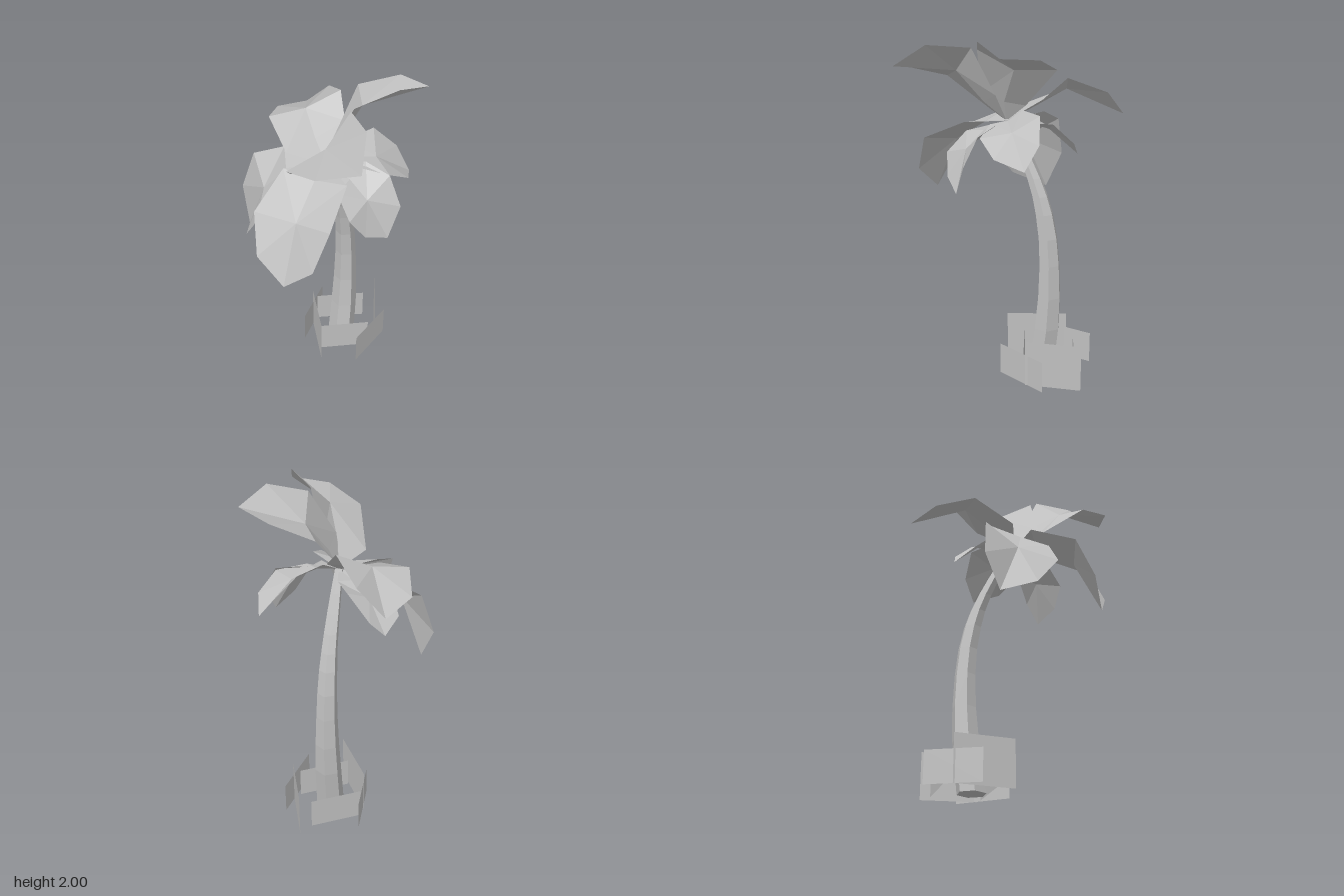
import * as THREE from 'three';

const grey = new THREE.MeshStandardMaterial({ color: 0xc0c0c0, flatShading: true, side: THREE.DoubleSide });
grey.name = 'pale grey';

// Point where trunk and fronds meet
const CROWN = [0.05, 1.5, 0.02];

function facets(points, index) {
  const g = new THREE.BufferGeometry();
  g.setAttribute('position', new THREE.Float32BufferAttribute(points.flat(), 3));
  g.setIndex(index);
  const flat = g.toNonIndexed();
  flat.computeVertexNormals();
  return flat;
}

// Frond: two edges of three points from root to end, a two-point midrib and a tip
function frond(name, left, rib, right, tip) {
  const points = [CROWN, ...left, ...rib, ...right, tip];
  const [c, l1, l2, l3, m1, m2, r1, r2, r3, t] = points.keys();
  const index = [];
  for (const [a, b, d, flip] of [[l1, l2, l3, false], [r1, r2, r3, true]]) {
    const tris = [[c, m1, a], [a, m1, m2], [a, m2, b], [b, m2, d], [d, m2, t]];
    for (const [p, q, r] of tris) index.push(...(flip ? [p, r, q] : [p, q, r]));
  }
  const mesh = new THREE.Mesh(facets(points, index), grey);
  mesh.name = name;
  return mesh;
}

// Bent six-sided trunk: height, z of centre and radius of each ring
function trunk() {
  const rings = [
    [0, -0.225, 0.085], [0.3, -0.265, 0.079], [0.5, -0.278, 0.071], [0.7, -0.277, 0.063],
    [0.86, -0.264, 0.058], [1.0, -0.237, 0.053], [1.1, -0.207, 0.047], [1.2, -0.165, 0.042],
    [1.3, -0.113, 0.037], [1.4, -0.058, 0.031], [1.51, 0.01, 0.024],
  ];
  const n = rings.length - 1;
  const g = new THREE.CylinderGeometry(1, 1, 1, 6, n);
  const p = g.attributes.position;
  for (let i = 0; i < p.count; i++) {
    const [y, z, r] = rings[Math.round((p.getY(i) + 0.5) * n)];
    p.setXYZ(i, CROWN[0] - 0.005 + p.getX(i) * r, y, z + p.getZ(i) * r);
  }
  const flat = g.toNonIndexed();
  flat.computeVertexNormals();
  const mesh = new THREE.Mesh(flat, grey);
  mesh.name = 'trunk';
  return mesh;
}

// Upright grass card between two ground points
function grassCard(x0, z0, x1, z1, height) {
  const g = new THREE.PlaneGeometry(Math.hypot(x1 - x0, z1 - z0), height);
  const mesh = new THREE.Mesh(g, grey);
  mesh.position.set((x0 + x1) / 2, 0.01 + height / 2, (z0 + z1) / 2);
  mesh.rotation.y = -Math.atan2(z1 - z0, x1 - x0);
  mesh.name = 'grassCard';
  return mesh;
}

export function createModel() {
  const model = new THREE.Group();
  model.name = 'palmTree';
  model.add(trunk());

  // Four low and two tall cards around the foot
  const grass = new THREE.Group();
  grass.name = 'grass';
  for (const card of [
    [0.23, -0.06, 0.28, -0.39, 0.19],
    [-0.025, -0.06, 0.235, -0.23, 0.19],
    [-0.155, -0.1, -0.185, -0.425, 0.19],
    [-0.17, -0.315, 0.09, -0.48, 0.19],
    [-0.175, -0.26, 0.03, 0.03, 0.28],
    [0.268, -0.265, 0.138, -0.56, 0.28],
  ]) grass.add(grassCard(...card));
  model.add(grass);

  const crown = new THREE.Group();
  crown.name = 'crown';
  crown.add(
    // Raised fronds
    frond('backLeftTopFrond',
      [[-0.17, 1.545, 0.07], [-0.37, 1.63, -0.105], [-0.43, 1.575, -0.32]],
      [[-0.07, 1.575, -0.09], [-0.195, 1.67, -0.22]],
      [[0.05, 1.65, -0.22], [-0.03, 1.77, -0.33], [-0.18, 1.685, -0.495]],
      [-0.335, 1.54, -0.51]),
    frond('backRightTopFrond',
      [[0.035, 1.6, -0.1], [0.075, 1.83, -0.33], [0.305, 1.92, -0.375]],
      [[0.1, 1.62, 0.0], [0.19, 1.825, -0.13]],
      [[0.1, 1.65, 0.16], [0.235, 1.92, 0.08], [0.42, 2.0, -0.065]],
      [0.505, 1.945, -0.27]),
    frond('frontRightTopFrond',
      [[0.14, 1.66, 0.03], [0.235, 1.925, 0.12], [0.4, 1.945, 0.3]],
      [[0.09, 1.6, 0.15], [0.17, 1.775, 0.28]],
      [[-0.055, 1.53, 0.23], [0.035, 1.705, 0.455], [0.25, 1.775, 0.56]],
      [0.46, 1.82, 0.485]),
    // Drooping fronds
    frond('frontFrond',
      [[0.245, 1.51, 0.17], [0.275, 1.385, 0.44], [0.222, 1.17, 0.535]],
      [[0.05, 1.48, 0.16], [0.05, 1.34, 0.385]],
      [[-0.135, 1.51, 0.17], [-0.17, 1.385, 0.44], [-0.11, 1.17, 0.535]],
      [0.05, 1.02, 0.54]),
    frond('leftSideFrond',
      [[-0.11, 1.4, 0.27], [-0.215, 1.24, 0.345], [-0.34, 1.055, 0.255]],
      [[-0.15, 1.46, 0.11], [-0.285, 1.315, 0.13]],
      [[-0.24, 1.505, -0.04], [-0.43, 1.42, -0.02], [-0.505, 1.185, 0.0]],
      [-0.43, 0.98, 0.065]),
    frond('rightSideFrond',
      [[0.25, 1.53, -0.06], [0.4, 1.49, -0.045], [0.485, 1.335, -0.01]],
      [[0.21, 1.475, 0.06], [0.33, 1.39, 0.09]],
      [[0.2, 1.45, 0.19], [0.3, 1.34, 0.25], [0.37, 1.225, 0.195]],
      [0.45, 1.165, 0.07]),
    frond('backRightFrond',
      [[0.1, 1.59, -0.12], [0.19, 1.6, -0.3], [0.305, 1.475, -0.373]],
      [[0.15, 1.53, -0.06], [0.265, 1.505, -0.17]],
      [[0.23, 1.52, 0.0], [0.395, 1.485, -0.055], [0.455, 1.405, -0.19]],
      [0.4, 1.35, -0.345]),
    frond('backLeftFrond',
      [[-0.12, 1.5, 0.0], [-0.26, 1.43, -0.02], [-0.325, 1.33, -0.115]],
      [[-0.05, 1.49, -0.07], [-0.16, 1.43, -0.13]],
      [[0.02, 1.5, -0.12], [-0.06, 1.49, -0.22], [-0.2, 1.355, -0.275]],
      [-0.28, 1.275, -0.25]),
  );
  model.add(crown);
  return model;
}
